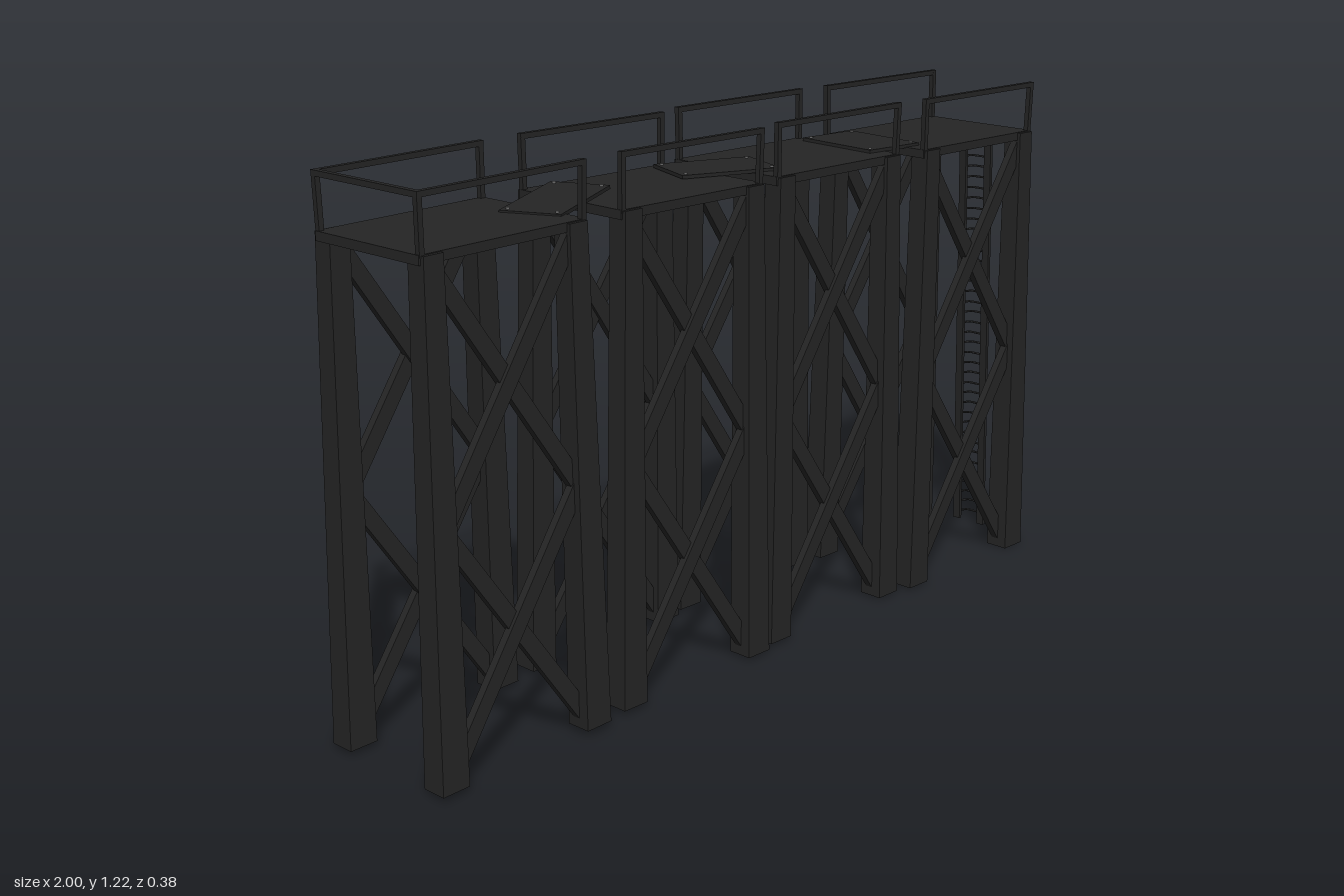
import * as THREE from 'three';

const dark = new THREE.MeshStandardMaterial({ color: 0x242424 });
const steel = new THREE.MeshStandardMaterial({ color: 0x8a8a8a });

function add(parent, name, geometry, x = 0, y = 0, z = 0, material = dark) {
  const mesh = new THREE.Mesh(geometry, material);
  mesh.name = name;
  mesh.position.set(x, y, z);
  parent.add(mesh);
  return mesh;
}

// Square bar stretched between two points
function bar(parent, name, a, b, width, depth) {
  const from = new THREE.Vector3(...a), to = new THREE.Vector3(...b);
  const dir = to.clone().sub(from);
  const mid = from.clone().add(to).multiplyScalar(0.5);
  const mesh = add(parent, name, new THREE.BoxGeometry(width, dir.length(), depth), mid.x, mid.y, mid.z);
  mesh.quaternion.setFromUnitVectors(new THREE.Vector3(0, 1, 0), dir.normalize());
  return mesh;
}

// Leg: wide foot, narrowing and leaning inwards towards the deck
function legGeometry(sx, sz) {
  const g = new THREE.BoxGeometry(1, 1, 1);
  const p = g.attributes.position;
  for (let i = 0; i < p.count; i++) {
    const top = p.getY(i) > 0;
    const x = sx * (top ? 0.183 : 0.196) + p.getX(i) * (top ? 0.048 : 0.068);
    const z = sz * (top ? 0.14 : 0.147) + p.getZ(i) * (top ? 0.046 : 0.058);
    p.setXYZ(i, x, top ? 1.085 : 0, z);
  }
  g.computeVertexNormals();
  return g;
}

function tower(endRail) {
  const t = new THREE.Group();
  t.name = 'tower';
  add(t, 'deck', new THREE.BoxGeometry(0.424, 0.02, 0.31), 0, 1.077, 0);

  for (const sz of [-1, 1]) {
    for (const sx of [-1, 1]) {
      add(t, 'leg', legGeometry(sx, sz));
      bar(t, 'railPost', [sx * 0.204, 1.08, sz * 0.15], [sx * 0.206, 1.205, sz * 0.152], 0.012, 0.012);
    }
    bar(t, 'handrail', [-0.212, 1.2, sz * 0.152], [0.212, 1.2, sz * 0.152], 0.012, 0.012);

    // Two stacked crosses on each long side
    for (const [low, high] of [[0.02, 0.55], [0.53, 1.07]]) {
      for (const s of [-1, 1]) {
        bar(t, 'crossBrace', [-s * 0.185, low, sz * (0.146 + s * 0.004)],
          [s * 0.185, high, sz * (0.141 + s * 0.004)], 0.036, 0.018);
      }
    }
  }
  if (endRail) bar(t, 'endRail', [-0.206, 1.2, -0.152], [-0.206, 1.2, 0.152], 0.012, 0.012);
  return t;
}

// Board laid across the gap between two decks, nailed at its corners
function bridge(length, width) {
  const b = new THREE.Group();
  b.name = 'bridge';
  add(b, 'bridgeBoard', new THREE.BoxGeometry(length, 0.008, width));
  for (const sx of [-1, 1]) for (const sz of [-1, 1]) {
    add(b, 'nail', new THREE.CylinderGeometry(0.004, 0.004, 0.004, 8),
      sx * (length / 2 - 0.014), 0.005, sz * (width / 2 - 0.014), steel);
  }
  return b;
}

// Ladder with flat stringers and bowed rungs
function ladder() {
  const l = new THREE.Group();
  l.name = 'ladder';
  const bottom = 0.02, top = 1.075, count = 38;
  const at = (y) => {
    const k = (y - bottom) / (top - bottom);
    return [0.964 - 0.014 * k, 0.012 - 0.01 * k];
  };
  for (const s of [-1, 1]) {
    const [x0, z0] = at(bottom), [x1, z1] = at(top);
    bar(l, 'stringer', [x0, bottom, z0 + s * 0.038], [x1, top, z1 + s * 0.038], 0.009, 0.02);
  }
  for (let i = 0; i < count; i++) {
    const y = 0.038 + i * 0.0276;
    const [x, z] = at(y);
    const reach = 0.028 + 0.004 * Math.sin(i * 2.3);
    const path = new THREE.CatmullRomCurve3([[0, -0.038], [reach, -0.026], [reach, 0.026], [0, 0.038]]
      .map(([dx, dz]) => new THREE.Vector3(x + dx, y, z + dz)), false, 'catmullrom', 0.2);
    add(l, 'rung', new THREE.TubeGeometry(path, 10, 0.0028, 5));
  }
  return l;
}

export function createModel() {
  const model = new THREE.Group();
  model.name = 'woodenWalkway';

  // x, y, z, yaw and lean of the four slightly uneven towers
  const towers = [
    [-0.768, 0.02, 0.002, 0, 0.006],
    [-0.25, 0.016, -0.01, -0.015, -0.01],
    [0.232, 0.014, -0.016, -0.015, -0.01],
    [0.725, 0.01, 0.008, -0.02, -0.012],
  ];
  towers.forEach(([x, y, z, yaw, lean], i) => {
    const t = tower(i === 0);
    t.position.set(x, y, z);
    t.rotation.set(0, yaw, lean);
    model.add(t);
  });

  // x, y, z, length, width, yaw and tilt of the boards
  const bridges = [
    [-0.49, 1.112, -0.01, 0.27, 0.135, 0.43, 0.03],
    [0.01, 1.106, -0.025, 0.24, 0.15, -0.36, -0.01],
    [0.498, 1.102, -0.01, 0.165, 0.225, -0.1, -0.01],
  ];
  for (const [x, y, z, length, width, yaw, tilt] of bridges) {
    const b = bridge(length, width);
    b.position.set(x, y, z);
    b.rotation.set(0, yaw, tilt);
    model.add(b);
  }

  model.add(ladder());
  return model;
}
